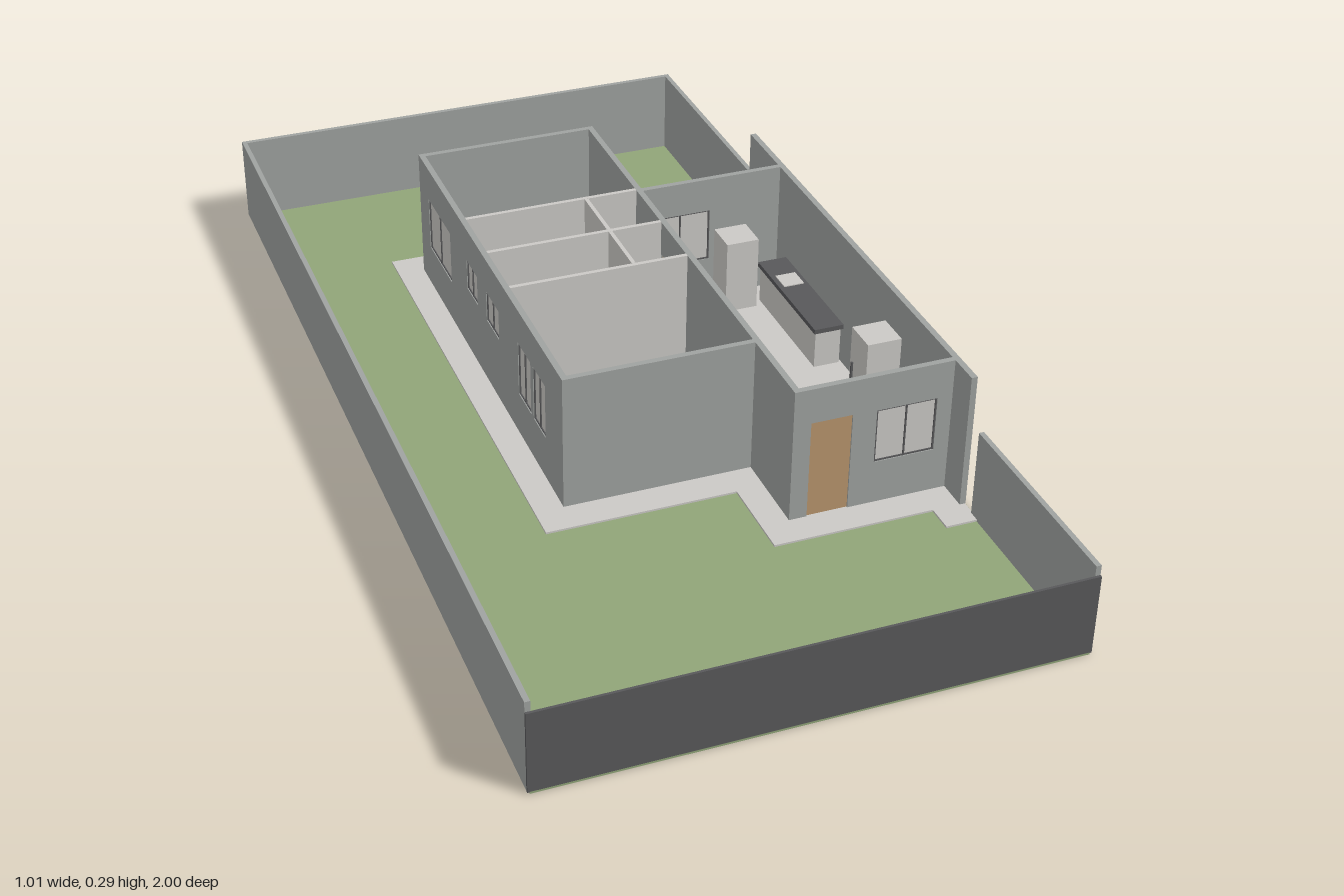
import * as THREE from 'three';

const mat = (name, color) => {
  const m = new THREE.MeshStandardMaterial({ color });
  m.name = name;
  return m;
};

export function createModel() {
  const root = new THREE.Group();
  root.name = 'walledHouse';
  const M = {
    grass: mat('grassGreen', 0x90a478),
    wall: mat('wallGrey', 0x9fa2a0),
    light: mat('paleStone', 0xcbc9c5),
    dark: mat('darkGrey', 0x58585a),
    wood: mat('wood', 0xb8956c),
  };
  const FLOOR = 0.01, TOP = 0.288, T = 0.012;

  // Box from its minimum and maximum on each axis
  function box(name, m, x0, x1, y0, y1, z0, z1, parent = root) {
    const mesh = new THREE.Mesh(new THREE.BoxGeometry(x1 - x0, y1 - y0, z1 - z0), m);
    mesh.position.set((x0 + x1) / 2, (y0 + y1) / 2, (z0 + z1) / 2);
    mesh.name = name;
    parent.add(mesh);
    return mesh;
  }

  // Window (pale panes in a dark frame) or wooden door filling an opening
  function fill(slab, o, pos) {
    const [a, b, y0, y1, kind, panes = 2] = o;
    if (kind === 'door') {
      slab('door', M.wood, a, b, y0, y1, pos, 0.006);
      return;
    }
    const f = 0.003;
    slab('windowPane', M.light, a, b, y0, y1, pos, 0.004);
    for (let i = 0; i <= panes; i++) {
      const c = a + f / 2 + (b - a - f) * i / panes;
      slab('windowPost', M.dark, c - f / 2, c + f / 2, y0, y1, pos, 0.009);
    }
    slab('windowSill', M.dark, a, b, y0, y0 + f, pos, 0.008);
    slab('windowHead', M.dark, a, b, y1 - f, y1, pos, 0.008);
  }

  // Straight wall along x or z, split around its openings [from, to, bottom, top, kind]
  function wall(name, axis, pos, from, to, m = M.wall, openings = [], thick = T) {
    const g = new THREE.Group();
    g.name = name;
    root.add(g);
    const slab = (n, mm, a, b, y0, y1, p, t) => axis === 'x'
      ? box(n, mm, a, b, y0, y1, p - t / 2, p + t / 2, g)
      : box(n, mm, p - t / 2, p + t / 2, y0, y1, a, b, g);
    let at = from;
    for (const o of openings) {
      const [a, b, y0, y1] = o;
      slab('wallPiece', m, at, a, FLOOR, TOP, pos, thick);
      if (y0 > FLOOR) slab('wallBelow', m, a, b, FLOOR, y0, pos, thick);
      slab('wallAbove', m, a, b, y1, TOP, pos, thick);
      fill(slab, o, pos);
      at = b;
    }
    slab('wallPiece', m, at, to, FLOOR, TOP, pos, thick);
  }

  // Lawn and stepped paving
  box('lawn', M.grass, -0.5, 0.5, 0.002, 0.006, -1, 1);
  const outline = [
    [-0.26, -0.675], [0.24, -0.675], [0.24, -0.372], [0.432, -0.372], [0.432, -0.528], [0.497, -0.528],
    [0.497, 0.6], [0.432, 0.6], [0.432, 0.545], [0.115, 0.545], [0.115, 0.368], [-0.26, 0.368],
  ];
  const shape = new THREE.Shape(outline.map(([x, z]) => new THREE.Vector2(x, -z)));
  const paving = new THREE.Mesh(new THREE.ExtrudeGeometry(shape, { depth: 0.005, bevelEnabled: false }), M.light);
  paving.rotation.x = -Math.PI / 2;
  paving.position.y = 0.005;
  paving.name = 'paving';
  root.add(paving);

  // Boundary walls, with two narrow gaps beside the tall party wall
  const H = 0.187;
  box('boundaryRight', M.wall, -0.504, -0.494, 0.005, H, -1, 0.995);
  box('boundaryBack', M.wall, -0.494, 0.494, 0.005, H, -1, -0.99);
  box('boundaryLeftBack', M.wall, 0.494, 0.504, 0.005, H, -1, -0.5);
  box('boundaryLeftFront', M.wall, 0.494, 0.504, 0.005, H, 0.577, 0.995);
  box('frontFence', M.dark, -0.504, 0.504, 0.005, 0.167, 0.995, 1);

  // Outer house walls
  wall('partyWall', 'z', 0.492, -0.468, 0.547);
  wall('bedroomBackWall', 'x', -0.614, -0.194, 0.172);
  wall('bedroomSideWall', 'z', -0.198, -0.62, 0.304, M.wall, [
    [-0.555, -0.40, 0.10, 0.215, 'window'],
    [-0.285, -0.215, 0.15, 0.215, 'window'],
    [-0.155, -0.075, 0.15, 0.215, 'window'],
    [0.045, 0.12, 0.10, 0.215, 'window'],
    [0.135, 0.205, 0.10, 0.215, 'window'],
  ]);
  wall('bedroomFrontWall', 'x', 0.298, -0.192, 0.17);
  wall('middleWall', 'z', 0.176, -0.62, 0.484, M.wall, [
    [-0.175, -0.1, FLOOR, 0.215, 'door'],
  ]);
  wall('kitchenBackWall', 'x', -0.316, 0.182, 0.486, M.wall, [
    [0.2, 0.33, 0.10, 0.215, 'window'],
  ]);
  wall('kitchenFrontWall', 'x', 0.478, 0.182, 0.486, M.wall, [
    [0.205, 0.287, FLOOR, 0.215, 'door'],
    [0.335, 0.456, 0.10, 0.213, 'window'],
  ]);

  // Room partitions
  for (const z of [-0.322, -0.18, -0.038]) wall('partition', 'x', z, -0.192, 0.17, M.light, [], 0.009);
  for (const z of [-0.317, -0.175]) wall('bathroomPartition', 'z', 0.062, z, z + 0.132, M.light, [], 0.008);

  // Beds: wooden frame with pale mattress
  for (const z of [-0.5, 0.075]) {
    box('bedFrame', M.wood, -0.087, 0.057, FLOOR, 0.05, z - 0.097, z + 0.097);
    box('mattress', M.light, -0.082, 0.052, 0.05, 0.065, z - 0.092, z + 0.092);
  }

  // Wardrobe with wooden doors and small handles
  box('wardrobe', M.light, -0.107, 0.075, FLOOR, 0.245, 0.24, 0.291);
  for (let i = 0; i < 3; i++) {
    const x = -0.107 + i * 0.061;
    box('wardrobeDoor', M.wood, x, x + 0.06, FLOOR, 0.245, 0.235, 0.24);
    box('wardrobeHandle', M.dark, x + 0.05, x + 0.053, 0.11, 0.14, 0.231, 0.235);
  }

  // Bathroom basins
  for (const z of [-0.287, -0.147]) box('basin', M.dark, -0.11, -0.048, FLOOR, 0.1, z - 0.022, z + 0.022);

  // Kitchen counters with inset sinks
  function counter(x0, x1, z0, z1, s0, s1) {
    box('counterBody', M.light, x0 + 0.004, x1 - 0.004, FLOOR, 0.09, z0 + 0.004, z1 - 0.004);
    box('counterTop', M.dark, x0, x1, 0.09, 0.1, z0, z1);
    box('sink', M.light, x0 + 0.01, x1 - 0.009, 0.1, 0.102, s0, s1);
  }
  counter(0.422, 0.485, -0.26, 0.028, -0.193, -0.147);
  counter(0.187, 0.25, 0.125, 0.366, 0.2, 0.242);

  // Fridge and laundry cabinet
  box('fridge', M.light, 0.415, 0.485, FLOOR, 0.212, 0.205, 0.276);
  box('fridgeHandle', M.dark, 0.411, 0.415, 0.08, 0.14, 0.215, 0.219);
  box('laundryCabinet', M.light, 0.34, 0.41, FLOOR, 0.17, -0.306, -0.235);

  return root;
}
